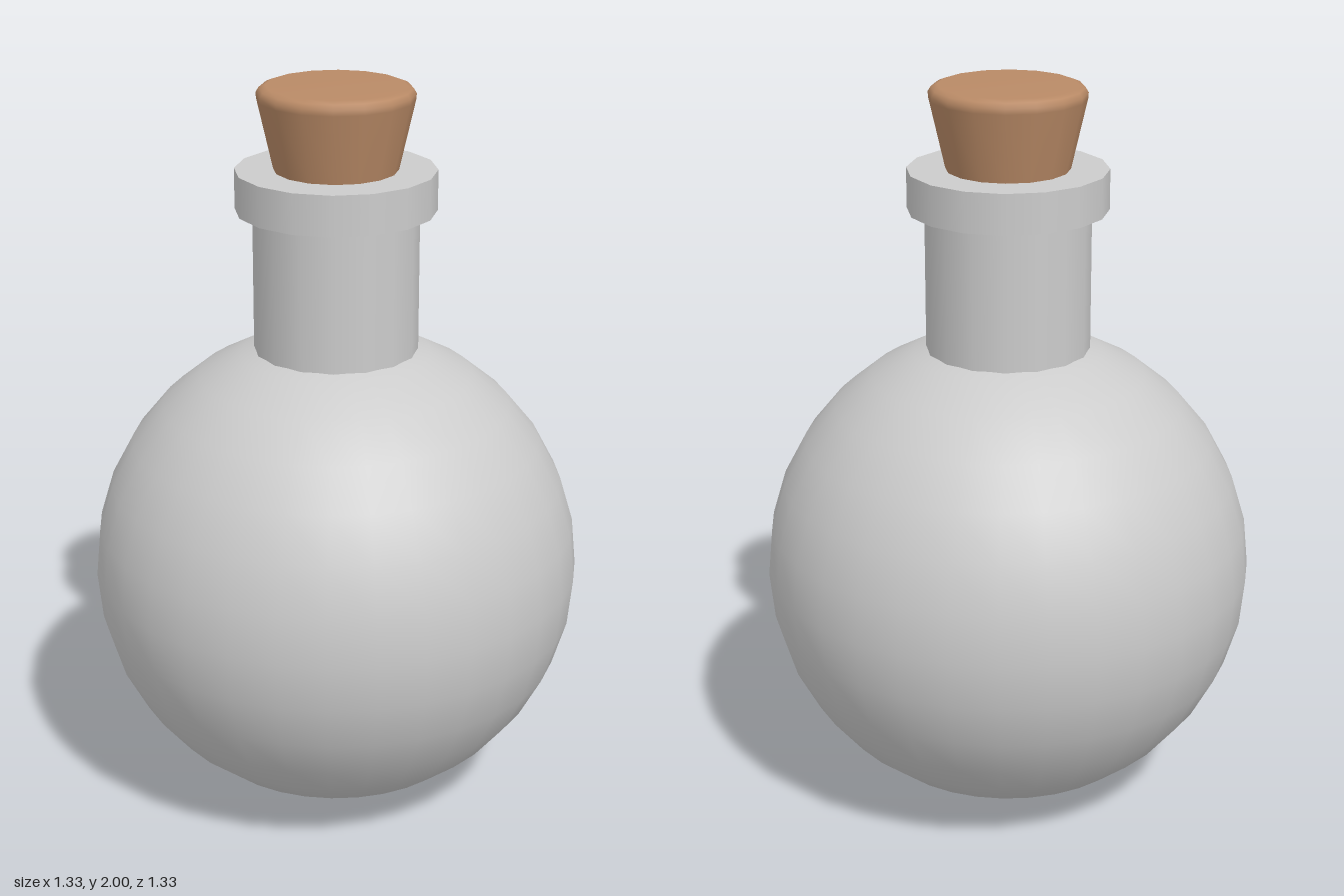
import * as THREE from 'three';

const glass = new THREE.MeshStandardMaterial({ color: 0xcccccc });
const corkMaterial = new THREE.MeshStandardMaterial({ color: 0xb98a66 });

export function createModel() {
  const model = new THREE.Group();

  const add = (name, geometry, material, y = 0) => {
    const mesh = new THREE.Mesh(geometry, material);
    mesh.name = name;
    mesh.position.y = y;
    model.add(mesh);
  };
  const ring = (radius, bottom, top) =>
    new THREE.CylinderGeometry(radius, radius, top - bottom, 16).translate(0, (top + bottom) / 2, 0);

  // Round body
  add('body', new THREE.SphereGeometry(0.663, 32, 16), glass, 0.668);

  // Neck, sunk into the body, with a wider lip on top
  add('neck', ring(0.22, 1.2, 1.7), glass);
  add('lip', ring(0.266, 1.672, 1.78), glass);

  // Tapered cork with a softly rounded top rim
  const profile = [[0, 1.68], [0.141, 1.68], [0.141, 1.68], [0.164, 1.78], [0.206, 1.965],
    [0.207, 1.98], [0.199, 1.993], [0.182, 2], [0, 2]];
  const points = profile.map(([r, y]) => new THREE.Vector2(r, y));
  add('cork', new THREE.LatheGeometry(points, 16), corkMaterial);

  return model;
}
